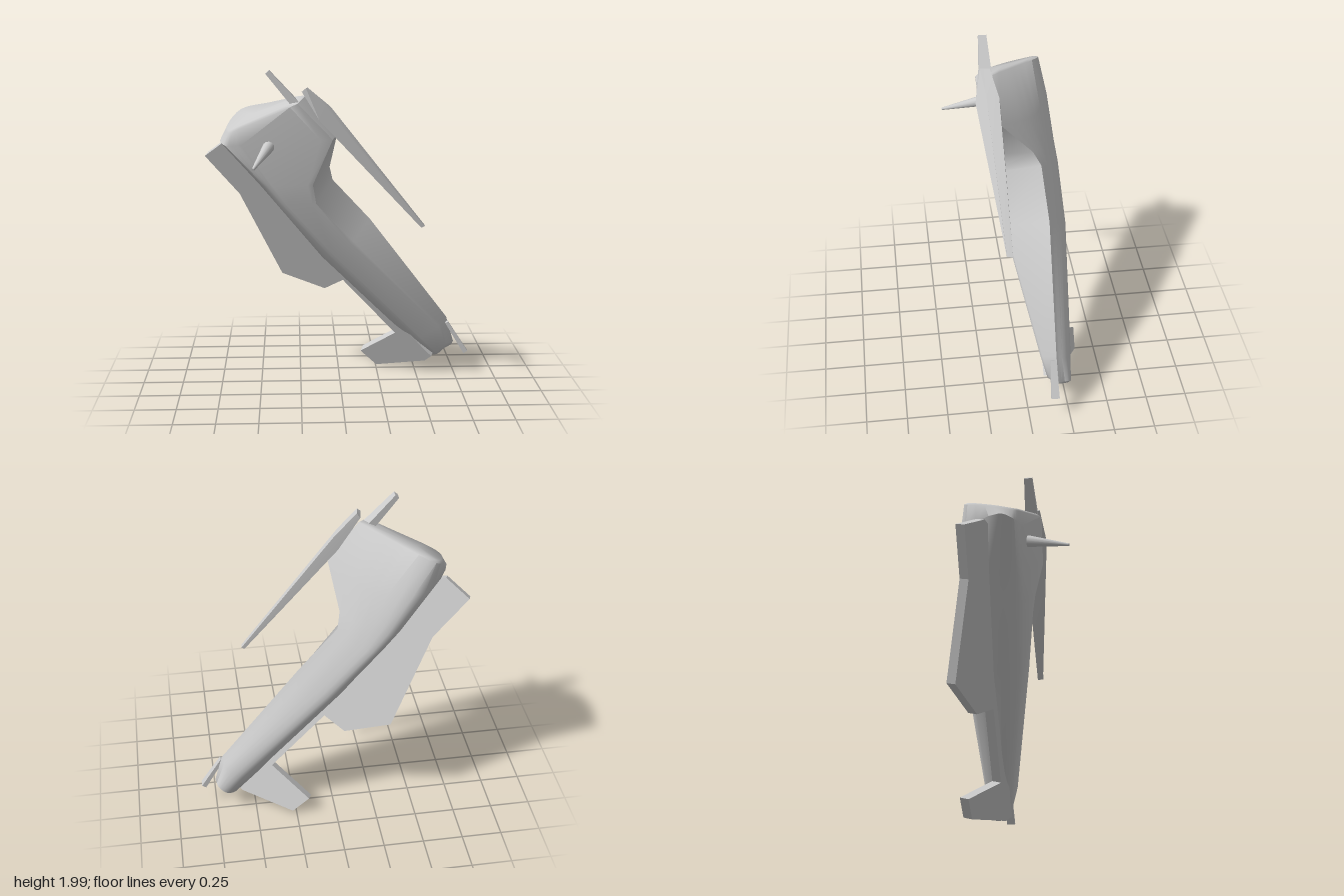
import * as THREE from 'three';
import { toCreasedNormals } from 'three/addons/utils/BufferGeometryUtils.js';

const grey = new THREE.MeshStandardMaterial({ color: 0xcccccc });
const V = (x, y, z) => new THREE.Vector3(x, y, z);
const points = (flat) => {
  const out = [];
  for (let i = 0; i < flat.length; i += 3) out.push(V(flat[i], flat[i + 1], flat[i + 2]));
  return out;
};
const middle = (loop) => loop.reduce((s, p) => s.add(p), V(0, 0, 0)).divideScalar(loop.length);

// Closed skin through cross-section loops, with fan caps at both ends
function loft(loops, crease) {
  const pos = [];
  const tri = (...ps) => ps.forEach((p) => pos.push(p.x, p.y, p.z));
  const n = loops[0].length;
  const first = loops[0], last = loops[loops.length - 1];
  const c0 = middle(first), c1 = middle(last);
  for (let i = 0; i < n; i++) {
    const j = (i + 1) % n;
    for (let s = 0; s < loops.length - 1; s++) {
      const a = loops[s], b = loops[s + 1];
      tri(a[i], b[i], a[j]);
      tri(a[j], b[i], b[j]);
    }
    tri(c0, first[i], first[j]);
    tri(c1, last[j], last[i]);
  }
  const g = new THREE.BufferGeometry();
  g.setAttribute('position', new THREE.Float32BufferAttribute(pos, 3));
  return toCreasedNormals(g, crease);
}

// Shrunken, shifted copy of an end loop, for a bevelled end
function bevelLoop(loop, scale, shift) {
  const c = middle(loop);
  return loop.map((p) => p.clone().sub(c).multiplyScalar(scale).add(c).add(shift));
}

// Slanted plate: outline in x/y, leaning backward away from the hull, with square edges
function finPlate(outline) {
  const depth = 0.058;
  const shape = new THREE.Shape(outline.map(([x, y]) => new THREE.Vector2(x, y)));
  const g = new THREE.ExtrudeGeometry(shape, { depth, bevelEnabled: false });
  const p = g.attributes.position;
  for (let i = 0; i < p.count; i++) {
    const x = p.getX(i), y = p.getY(i), z = p.getZ(i);
    const along = 0.69 * x - 0.73 * y, across = 0.73 * x + 0.69 * y;
    const lean = 0.02 * (1 - z / depth);
    p.setXYZ(i, x + lean, y + lean, z - depth / 2 - 0.34 - 0.012 * (along + 0.7) + 0.6 * (across - 0.18));
  }
  g.computeVertexNormals();
  return g;
}

export function createModel() {
  const group = new THREE.Group();
  const add = (name, geometry) => {
    const mesh = new THREE.Mesh(geometry, grey);
    mesh.name = name;
    group.add(mesh);
    return mesh;
  };

  // Hull sections: front edge, side edge, back middle, back low, low side, front low
  const sections = [
    [-0.26, 1.80, 0.195, -0.21, 1.84, 0.10, -0.41, 1.78, -0.08, -0.61, 1.72, -0.235, -0.70, 1.63, -0.04, -0.68, 1.61, 0.075],
    [-0.05, 1.58, 0.175, -0.02, 1.60, 0.07, -0.26, 1.51, -0.17, -0.54, 1.54, -0.27, -0.735, 1.56, 0.0, -0.70, 1.535, 0.085],
    [-0.17, 1.30, 0.14, -0.06, 1.37, -0.13, -0.19, 1.31, -0.24, -0.36, 1.28, -0.295, -0.50, 1.28, -0.05, -0.46, 1.28, 0.07],
    [-0.15, 1.18, 0.12, -0.04, 1.28, -0.18, -0.13, 1.20, -0.27, -0.26, 1.17, -0.31, -0.41, 1.17, -0.06, -0.37, 1.17, 0.06],
    [0.08, 0.93, 0.06, 0.20, 1.02, -0.20, 0.11, 0.94, -0.285, 0.02, 0.87, -0.325, -0.11, 0.80, -0.08, -0.07, 0.83, 0.02],
    [0.66, 0.34, -0.10, 0.70, 0.37, -0.18, 0.67, 0.32, -0.25, 0.58, 0.27, -0.285, 0.47, 0.22, -0.165, 0.50, 0.235, -0.12],
    [0.70, 0.20, -0.145, 0.75, 0.20, -0.19, 0.735, 0.19, -0.26, 0.68, 0.14, -0.27, 0.61, 0.105, -0.20, 0.62, 0.125, -0.155],
  ];
  const hullLoops = sections.map((flat) => {
    const [edge, ...rest] = points(flat);
    const low = rest[rest.length - 1];
    const front = edge.clone().lerp(low, 0.11).add(V(0, 0, 0.012));
    const frontLow = low.clone().lerp(edge, 0.15).add(V(0, 0, 0.015));
    return [front, edge, ...new THREE.CatmullRomCurve3([...rest, frontLow]).getPoints(20)];
  });
  hullLoops.unshift(bevelLoop(hullLoops[0], 0.9, V(-0.008, 0.01, 0)));
  hullLoops.push(bevelLoop(hullLoops[hullLoops.length - 1], 0.75, V(0.008, -0.012, 0)));
  add('hull', loft(hullLoops, 0.85));

  // Long tapered blade beside the head
  add('sideBlade', loft([
    [-0.235, 1.87, 0.18, -0.21, 1.89, 0.175, -0.20, 1.89, 0.115, -0.22, 1.86, 0.11],
    [-0.13, 1.70, 0.21, -0.09, 1.78, 0.15, -0.06, 1.77, 0.075, -0.08, 1.68, 0.065],
    [0.50, 1.02, 0.10, 0.52, 1.03, 0.10, 0.525, 1.03, 0.065, 0.505, 1.02, 0.065],
  ].map(points), 0.3));

  // Keel plate along the low side, widening into a large and a small fin
  add('keelFins', finPlate([[-0.845, 1.435], [-0.63, 1.19], [-0.365, 0.64], [-0.09, 0.555],
    [0.025, 0.63], [0.365, 0.27], [0.15, 0.10], [0.255, 0.005], [0.56, 0.08],
    [0.60, 0.12], [0.53, 0.19], [-0.65, 1.52], [-0.72, 1.535]]));

  // Flat tapering prongs at head and tail
  const prong = (name, [x0, y0], [x1, y1], z, baseScale) => {
    const g = new THREE.BoxGeometry(0.03, Math.hypot(x1 - x0, y1 - y0), 0.05);
    const p = g.attributes.position;
    for (let i = 0; i < p.count; i++) {
      if (p.getY(i) < 0) p.setXYZ(i, p.getX(i) * baseScale, p.getY(i), p.getZ(i) * baseScale);
    }
    g.computeVertexNormals();
    const m = add(name, g);
    m.position.set((x0 + x1) / 2, (y0 + y1) / 2, z);
    m.rotation.z = Math.atan2(y1 - y0, x1 - x0) - Math.PI / 2;
  };
  prong('headProng', [-0.27, 1.79], [-0.44, 1.985], 0.135, 1.6);
  prong('tailProng', [0.70, 0.34], [0.825, 0.14], -0.16, 0.7);

  // Tapered spike on the front of the head
  const base = V(-0.435, 1.535, 0.12), tip = V(-0.525, 1.435, 0.39);
  const dir = tip.clone().sub(base);
  const spike = add('spike', new THREE.CylinderGeometry(0.008, 0.037, dir.length(), 12));
  spike.position.copy(base).add(tip).multiplyScalar(0.5);
  spike.quaternion.setFromUnitVectors(V(0, 1, 0), dir.normalize());

  return group;
}
